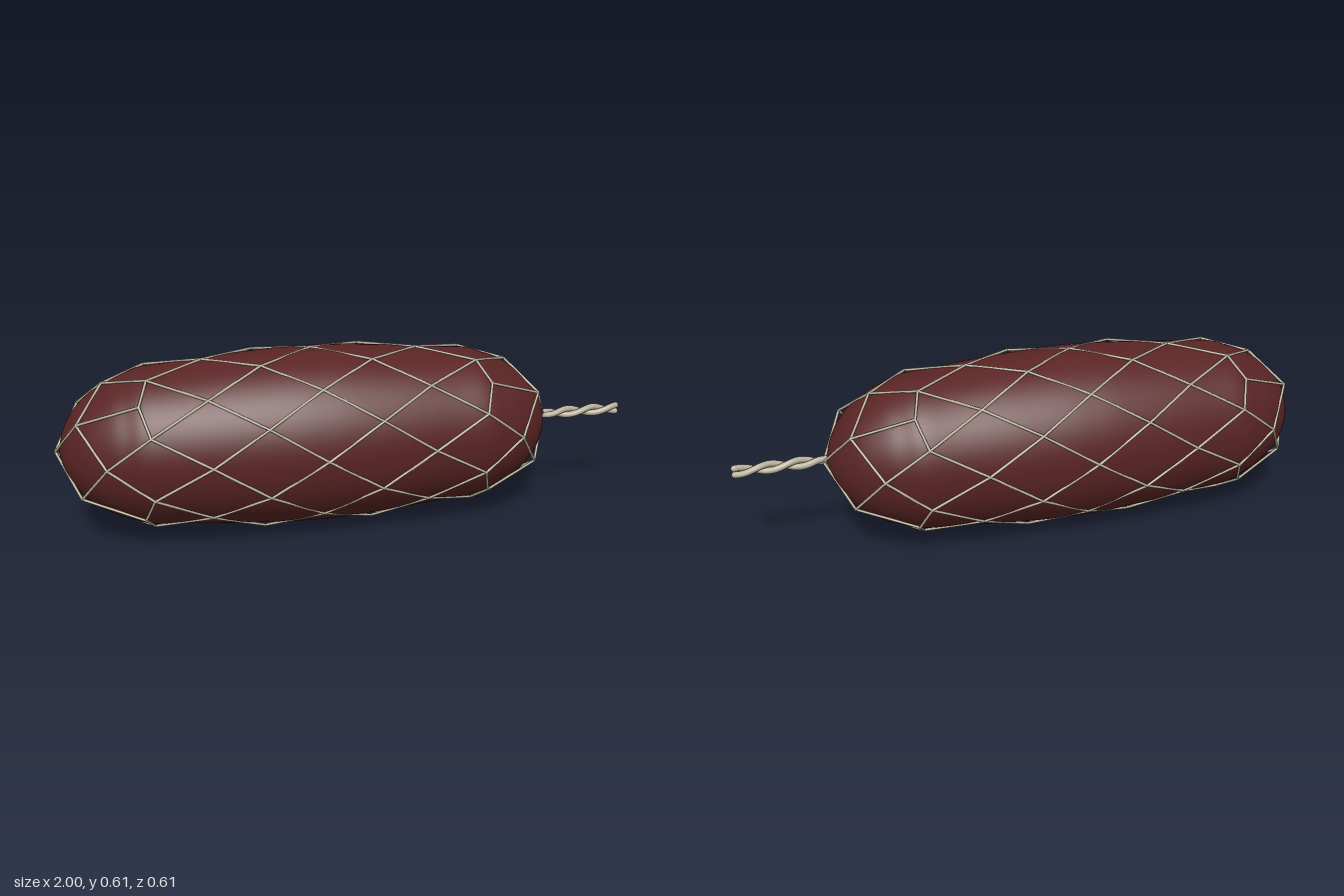
import * as THREE from 'three';

const CX = -0.145, CY = 0.309;   // centre of the sausage
const POLE = 0.852;              // half length of the net

export function createModel() {
  const root = new THREE.Group();
  root.name = 'nettedSausage';
  const meat = new THREE.MeshStandardMaterial({ color: 0x5a2424 });
  const string = new THREE.MeshStandardMaterial({ color: 0xb9b29c });

  // Body: mirrored profile [distance from middle, radius] turned about x
  const half = [[0, 0.3], [0.1, 0.298], [0.27, 0.287], [0.45, 0.271], [0.56, 0.262], [0.62, 0.242],
    [0.67, 0.222], [0.73, 0.186], [0.77, 0.152], [0.805, 0.105], [0.828, 0.055], [0.84, 0]];
  const points = [
    ...half.slice(1).reverse().map(([d, r]) => new THREE.Vector2(r, -d)),
    ...half.map(([d, r]) => new THREE.Vector2(r, d)),
  ];
  const profile = new THREE.SplineCurve(points).getPoints(88);
  profile.forEach((p) => { p.x = Math.max(p.x, 0); });
  profile[0].x = profile[profile.length - 1].x = 0;
  const body = new THREE.Mesh(new THREE.LatheGeometry(profile, 64), meat);
  body.name = 'sausageBody';
  body.rotation.z = -Math.PI / 2;
  body.position.set(CX, CY, 0);
  root.add(body);

  // Net: straight strings between knots placed on rings round the body
  const net = new THREE.Group();
  net.name = 'net';
  net.position.set(CX, CY, 0);
  root.add(net);
  const R = 0.0045;
  const rodGeo = new THREE.CylinderGeometry(R, R, 1, 8, 1, true);
  const knotGeo = new THREE.SphereGeometry(R, 8, 6);
  const up = new THREE.Vector3(0, 1, 0);

  const knot = (d, r, step) => {
    const a = step * Math.PI / 8;
    const p = new THREE.Vector3(d, r * Math.cos(a), r * Math.sin(a));
    const mesh = new THREE.Mesh(knotGeo, string);
    mesh.name = 'knot';
    mesh.position.copy(p);
    net.add(mesh);
    return p;
  };
  const link = (a, b) => {
    const dir = b.clone().sub(a);
    const mesh = new THREE.Mesh(rodGeo, string);
    mesh.name = 'netString';
    mesh.scale.y = dir.length();
    mesh.position.copy(a).add(b).multiplyScalar(0.5);
    mesh.quaternion.setFromUnitVectors(up, dir.normalize());
    net.add(mesh);
  };
  const ring = (n, d, r, offset) =>
    Array.from({ length: n }, (_, i) => knot(d, r, offset + i * 16 / n));
  // Each knot of an odd ring ties to the two neighbours of an even ring
  const diamonds = (odd, even) => odd.forEach((p, i) => {
    link(p, even[i]);
    link(p, even[(i + 1) % even.length]);
  });

  const middle = ring(8, 0, 0.302, 0);
  for (const s of [-1, 1]) {
    const nearMiddle = ring(8, s * 0.185, 0.302, 1);
    const shoulder = ring(8, s * 0.365, 0.282, 0);
    const outer = ring(8, s * 0.55, 0.271, 1);
    const corners = ring(4, s * 0.58, 0.27, 2);
    const sides = ring(4, s * 0.69, 0.222, 0);
    const cap = ring(4, s * 0.775, 0.177, 2);
    const pole = knot(s * POLE, 0, 0);
    diamonds(nearMiddle, middle);
    diamonds(nearMiddle, shoulder);
    diamonds(outer, shoulder);
    diamonds(cap, sides);
    for (let i = 0; i < 4; i++) {
      link(pole, cap[i]);
      link(cap[i], corners[i]);
      link(corners[i], outer[2 * i]);
      link(corners[i], outer[2 * i + 1]);
      link(sides[i], outer[2 * i]);
      link(sides[i], outer[(2 * i + 7) % 8]);
    }
  }

  // Tail: two strands twisted together
  const x0 = CX + POLE - 0.012, x1 = 0.989;
  for (const phase of [0, Math.PI]) {
    const path = [];
    for (let i = 0; i <= 24; i++) {
      const t = i / 24, a = phase + (t - 1) * Math.PI * 3 + Math.PI / 2;
      const r = 0.011 * Math.min(1, 0.3 + t * 4);
      path.push(new THREE.Vector3(x0 + (x1 - x0) * t,
        CY + 0.005 + r * Math.sin(a), 0.005 + r * Math.cos(a)));
    }
    const curve = new THREE.CatmullRomCurve3(path);
    const strand = new THREE.Mesh(new THREE.TubeGeometry(curve, 60, 0.011, 10), string);
    strand.name = 'tailStrand';
    const tip = new THREE.Mesh(new THREE.SphereGeometry(0.011, 12, 8), string);
    tip.name = 'tailTip';
    tip.position.copy(path[24]);
    root.add(strand, tip);
  }
  return root;
}
